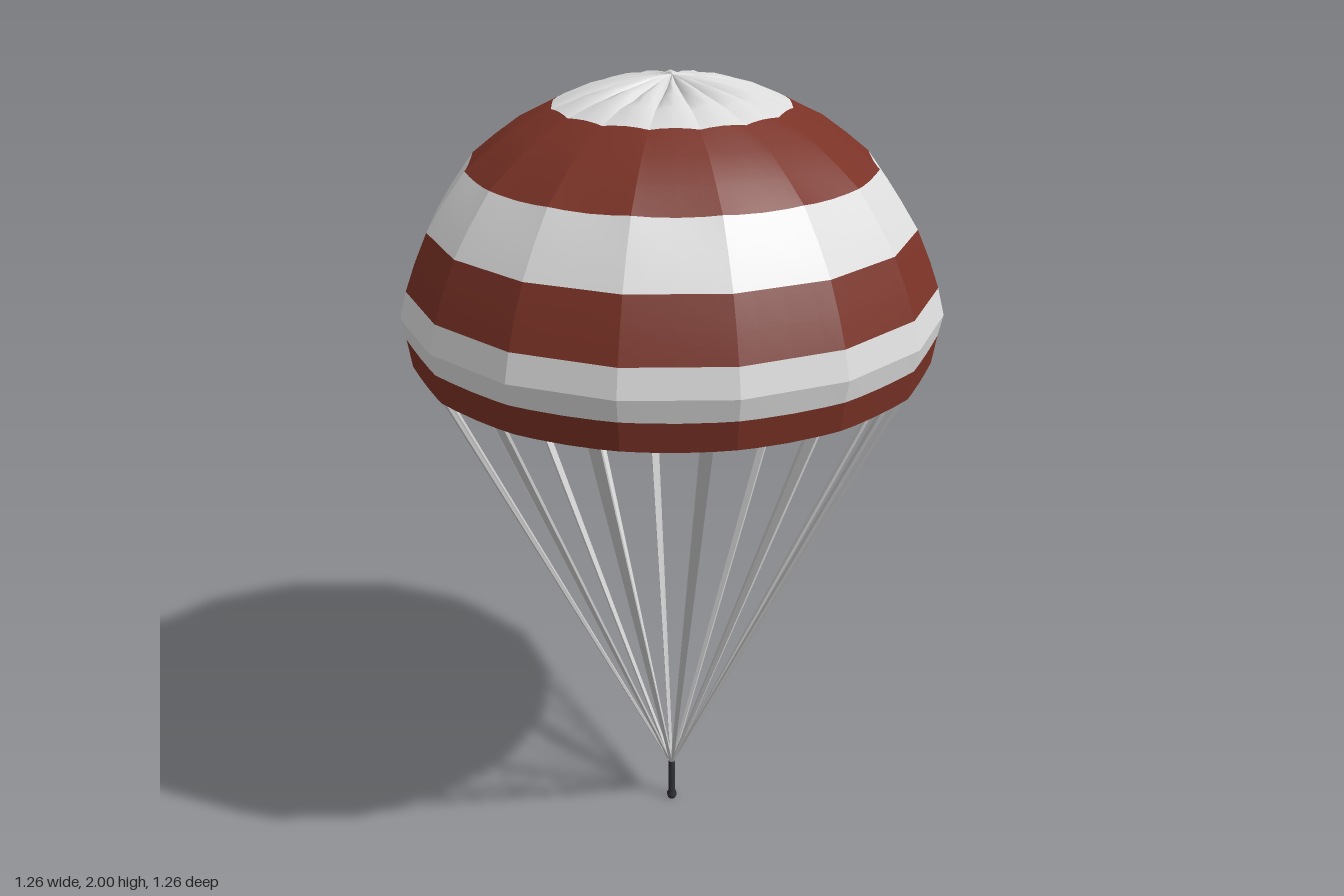
import * as THREE from 'three';

const SIDES = 16;
const STEP = (Math.PI * 2) / SIDES;
const RIM = 1.345;

const material = (name, color, side = THREE.FrontSide) => {
  const m = new THREE.MeshStandardMaterial({ color, side });
  m.name = name;
  return m;
};

// One ring of flat gores; profile rows are [apothem, height, seam dip].
function goreRing(profile) {
  const pos = [], index = [];
  const cols = [-1, -0.6, 0, 0.6, 1];
  const n = cols.length;
  for (let k = 0; k < SIDES; k++) {
    const a = k * STEP, s = Math.sin(a), c = Math.cos(a);
    const base = pos.length / 3;
    for (const [r, y, dip = 0] of profile) {
      for (const t of cols) {
        const w = r * Math.tan(STEP / 2) * t;
        pos.push(r * s + w * c, y - dip * t * t, r * c - w * s);
      }
    }
    for (let i = 0; i < profile.length - 1; i++) {
      for (let j = 0; j < n - 1; j++) {
        const p = base + i * n + j;
        index.push(p, p + 1, p + n, p + 1, p + n + 1, p + n);
      }
    }
  }
  const g = new THREE.BufferGeometry();
  g.setAttribute('position', new THREE.Float32BufferAttribute(pos, 3));
  g.setIndex(index);
  g.computeVertexNormals();
  return g;
}

// Flat strap that narrows from the canopy rim down to the handle.
function strapGeometry(length) {
  const g = new THREE.BoxGeometry(1, length, 0.008);
  const p = g.attributes.position;
  for (let i = 0; i < p.count; i++) {
    const top = p.getY(i) > 0;
    p.setX(i, p.getX(i) * (top ? 0.028 : 0.007));
    if (!top) p.setZ(i, p.getZ(i) * 0.6);
  }
  g.computeVertexNormals();
  return g;
}

export function createModel() {
  const model = new THREE.Group();
  model.name = 'parachute';

  const red = material('canopyRed', 0x7a3226, THREE.DoubleSide);
  const white = material('canopyWhite', 0xdcdcdc, THREE.DoubleSide);
  const cord = material('cordGrey', 0xcccccc);
  const dark = material('handleDark', 0x303036);

  // Striped canopy, from the hem up to the pleated crown
  const canopy = new THREE.Group();
  canopy.name = 'canopy';
  const bands = [
    ['hem', red, [[0.592, RIM + 0.004], [0.61, RIM, -0.005]]],
    ['rimStripe', red, [[0.61, RIM, -0.005], [0.62, 1.415, -0.004]]],
    ['lowerWhiteStripe', white, [[0.62, 1.415, -0.004], [0.63, 1.47]]],
    ['shoulderStripe', white, [[0.63, 1.47], [0.613, 1.535]]],
    ['middleRedStripe', red, [[0.613, 1.535], [0.589, 1.6], [0.558, 1.67]]],
    ['upperWhiteStripe', white, [[0.558, 1.67], [0.517, 1.735], [0.466, 1.8, -0.005]]],
    ['upperRedStripe', red, [[0.466, 1.8, -0.005], [0.411, 1.85], [0.35, 1.895], [0.27, 1.938, 0.004]]],
    ['crown', white, [[0.27, 1.938, 0.004], [0.2, 1.968, 0.01], [0.14, 1.985, 0.018],
      [0.06, 1.997, 0.018], [0, 2]]],
  ];
  for (const [name, mat, profile] of bands) {
    const mesh = new THREE.Mesh(goreRing(profile), mat);
    mesh.name = name;
    canopy.add(mesh);
  }
  model.add(canopy);

  // Suspension straps meeting at the handle
  const straps = new THREE.Group();
  straps.name = 'suspensionStraps';
  const topR = 0.602, topY = 1.355, lowR = 0.006, lowY = 0.125;
  const geometry = strapGeometry(Math.hypot(topR - lowR, topY - lowY));
  const lean = Math.atan2(topR - lowR, topY - lowY);
  for (let k = 0; k < SIDES; k++) {
    const holder = new THREE.Group();
    holder.name = 'strapHolder';
    holder.rotation.y = (k + 0.25) * STEP;
    const strap = new THREE.Mesh(geometry, cord);
    strap.name = 'strap';
    strap.position.set(0, (topY + lowY) / 2, (topR + lowR) / 2);
    strap.rotation.x = lean;
    holder.add(strap);
    straps.add(holder);
  }
  model.add(straps);

  // Handle with a small foot
  const handle = new THREE.Mesh(new THREE.LatheGeometry([
    [0, 0], [0.011, 0], [0.013, 0.006], [0.013, 0.016], [0.009, 0.024], [0.009, 0.13], [0, 0.136],
  ].map(([x, y]) => new THREE.Vector2(x, y)), 12), dark);
  handle.name = 'handle';
  model.add(handle);

  return model;
}
